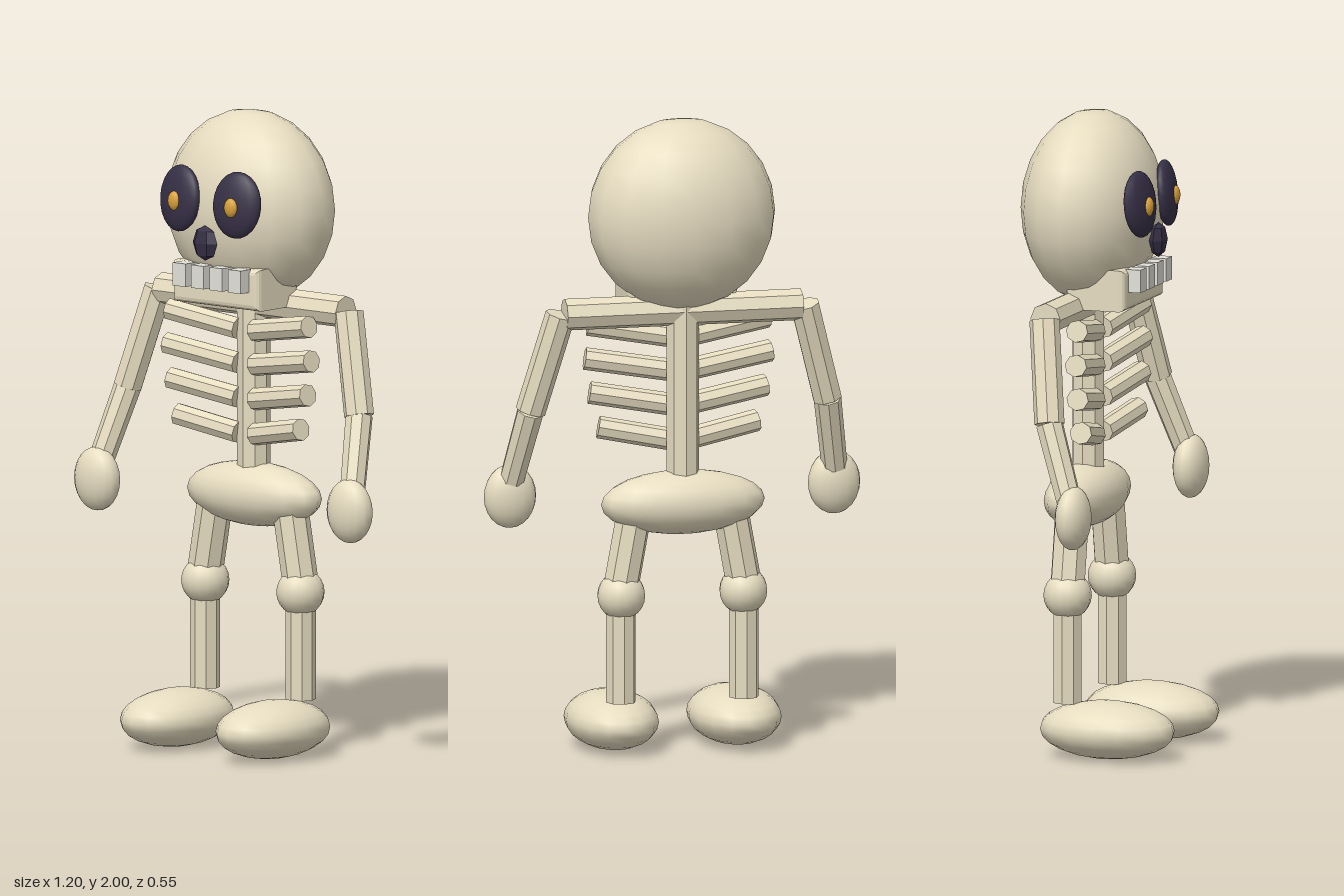
import * as THREE from 'three';

const paint = (color, flatShading = false) => new THREE.MeshStandardMaterial({ color, flatShading });

export function createModel() {
  const model = new THREE.Group();
  const bone = paint(0xe6dcc0);
  const boneFlat = paint(0xe6dcc0, true);
  const dark = paint(0x362f45);
  const darkFlat = paint(0x362f45, true);
  const amber = paint(0xd9a23a);
  const enamel = paint(0xe2e0d8);

  const add = (name, geometry, material, parent = model) => {
    const mesh = new THREE.Mesh(geometry, material);
    mesh.name = name;
    parent.add(mesh);
    return mesh;
  };

  // Rounded lump: a sphere stretched to three radii
  const ellipsoid = (name, pos, radii, material = bone, parent = model, seg = [16, 12]) => {
    const mesh = add(name, new THREE.SphereGeometry(1, ...seg), material, parent);
    mesh.position.set(...pos);
    mesh.scale.set(...radii);
    return mesh;
  };

  // Straight eight-sided bone between two points
  const rod = (name, from, to, r0, r1 = r0, parent = model) => {
    const a = new THREE.Vector3(...from);
    const b = new THREE.Vector3(...to);
    const dir = b.clone().sub(a);
    const mesh = add(name, new THREE.CylinderGeometry(r1, r0, dir.length(), 8), boneFlat, parent);
    mesh.position.copy(a).add(b).multiplyScalar(0.5);
    mesh.quaternion.setFromUnitVectors(new THREE.Vector3(0, 1, 0), dir.normalize());
    return mesh;
  };

  // Rounded slab, bevelled in the front outline
  const slab = (name, w, h, d, bevel, pos, material) => {
    const x = w / 2 - bevel, y = h / 2 - bevel;
    const shape = new THREE.Shape([[-x, -y], [x, -y], [x, y], [-x, y]].map((p) => new THREE.Vector2(...p)));
    const geometry = new THREE.ExtrudeGeometry(shape, {
      depth: d - 2 * bevel, bevelSize: bevel, bevelThickness: bevel, bevelSegments: 3,
    });
    geometry.center();
    add(name, geometry, material).position.set(...pos);
  };

  // Head
  ellipsoid('skull', [0, 1.7, -0.065], [0.297, 0.3, 0.212]);
  ellipsoid('nose', [0, 1.605, 0.152], [0.05, 0.055, 0.025], darkFlat, model, [6, 4]);
  slab('jaw', 0.35, 0.13, 0.195, 0.018, [0, 1.465, 0.008], bone);
  for (let i = 0; i < 4; i++) {
    const tooth = add('tooth', new THREE.BoxGeometry(0.052, 0.072, 0.05), enamel);
    tooth.position.set((i - 1.5) * 0.075, 1.494, 0.12);
  }

  // Trunk
  rod('spine', [0, 0.78, -0.08], [0, 1.42, -0.08], 0.052);
  rod('collarbone', [-0.375, 1.4, -0.08], [0.375, 1.4, -0.08], 0.05);
  ellipsoid('pelvis', [0, 0.795, -0.083], [0.26, 0.1, 0.106]);

  // Rib outer ends: x and y, from the top down
  const ribs = [[0.285, 1.352], [0.295, 1.245], [0.28, 1.137], [0.252, 1.027]];

  for (const [s, side] of [[1, 'left'], [-1, 'right']]) {
    // Eyes follow the curve of the skull
    const eye = ellipsoid(side + 'EyeSocket', [s * 0.116, 1.733, 0.135], [0.087, 0.104, 0.032], dark);
    eye.rotation.set(-0.1, s * 0.15, 0);
    ellipsoid(side + 'Pupil', [s * 0.115, 1.727, 0.163], [0.025, 0.031, 0.016], amber, model, [12, 8]);

    // Ribs rise outward from the spine
    for (const [x, y] of ribs) {
      rod(side + 'Rib', [s * 0.035, y - 0.04, -0.045], [s * x, y, -0.01], 0.035);
    }

    // Arm hangs outward and bends forward
    const arm = new THREE.Group();
    arm.name = side + 'Arm';
    model.add(arm);
    const elbow = [s * 0.472, 1.09, -0.03];
    rod('upperArm', [s * 0.388, 1.4, -0.078], elbow, 0.047, 0.047, arm);
    rod('forearm', elbow, [s * 0.513, 0.86, 0.05], 0.043, 0.04, arm);
    ellipsoid('hand', [s * 0.515, 0.807, 0.065], [0.083, 0.1, 0.053], bone, arm);

    // Leg
    const leg = new THREE.Group();
    leg.name = side + 'Leg';
    model.add(leg);
    rod('thigh', [s * 0.15, 0.78, -0.075], [s * 0.197, 0.52, -0.075], 0.056, 0.056, leg);
    ellipsoid('knee', [s * 0.194, 0.506, -0.075], [0.075, 0.075, 0.075], bone, leg);
    rod('shin', [s * 0.195, 0.17, -0.075], [s * 0.195, 0.5, -0.075], 0.047, 0.047, leg);
    ellipsoid('foot', [s * 0.195, 0.092, 0.057], [0.143, 0.09, 0.219], bone, leg);
  }

  return model;
}
